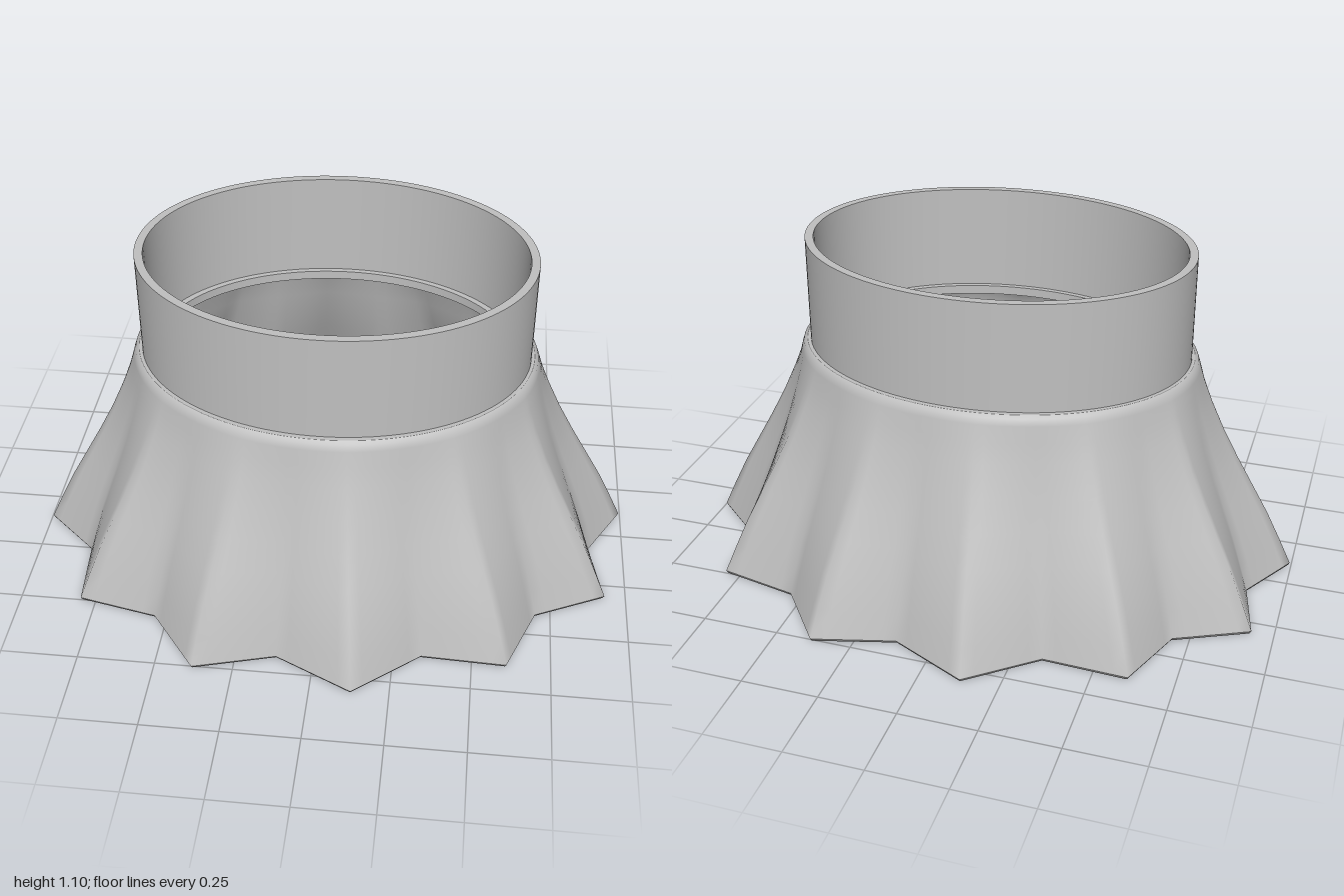
import * as THREE from 'three';

// Hem outline (x, z): alternating pleat tips and valleys for half the skirt;
// the other half is the same turned by 180 degrees.
const HALF = [
  [-0.13, -0.81], [0.12, -0.69], [0.38, -0.76], [0.54, -0.555],
  [0.80, -0.50], [0.82, -0.265], [0.995, -0.11], [0.88, 0.09],
  [0.93, 0.31], [0.70, 0.42], [0.61, 0.65], [0.34, 0.64],
];
const KNOTS = [...HALF, ...HALF.map(([x, z]) => [-x, -z])];
const SUB = 6;

// Hem points with a few steps between each tip and valley
const HEM = KNOTS.flatMap(([x, z], i) => {
  const [nx, nz] = KNOTS[(i + 1) % KNOTS.length];
  return Array.from({ length: SUB }, (_, s) => [x + (nx - x) * s / SUB, z + (nz - z) * s / SUB]);
});
const N = HEM.length;
const ANGLES = HEM.map(([x, z]) => Math.atan2(z / 0.81, x));

// A ring is a list of [x, y, z] points, one for each hem point
const ellipse = (rx, rz, y) => ANGLES.map((a) => [rx * Math.cos(a), y, rz * Math.sin(a)]);

// Pleated ring: flare 0 is the waist ellipse, flare 1 is the full hem outline
function pleat(y, flare, inset = 0) {
  return HEM.map(([hx, hz], i) => {
    const wx = 0.655 * Math.cos(ANGLES[i]), wz = 0.51 * Math.sin(ANGLES[i]);
    const x = wx + (hx - wx) * flare, z = wz + (hz - wz) * flare;
    const k = 1 - inset / Math.hypot(x, z);
    return [x * k, y, z * k];
  });
}

// Smooth closed sheet through rings
function sheet(name, rings, material) {
  const index = [];
  for (let r = 0; r < rings.length - 1; r++) {
    for (let i = 0; i < N; i++) {
      const j = (i + 1) % N;
      const a = r * N + i, b = a + N, c = r * N + j, d = c + N;
      index.push(a, b, c, b, d, c);
    }
  }
  const geometry = new THREE.BufferGeometry();
  geometry.setAttribute('position', new THREE.Float32BufferAttribute(rings.flat(2), 3));
  geometry.setIndex(index);
  geometry.computeVertexNormals();
  const mesh = new THREE.Mesh(geometry, material);
  mesh.name = name;
  return mesh;
}

export function createModel() {
  const cloth = new THREE.MeshStandardMaterial({ color: 0xc0c0c0, side: THREE.DoubleSide });
  cloth.name = 'grey cloth';

  // Flare profile from hem to waist: [height, flare]
  const profile = [
    [0.01, 1], [0.1, 0.88], [0.2, 0.74], [0.3, 0.58], [0.4, 0.42],
    [0.5, 0.27], [0.6, 0.14], [0.67, 0.06], [0.72, 0.015],
  ];
  const T = 0.02;

  // Pleated skirt: outside, waist ledge, lining and hem
  const skirt = new THREE.Group();
  skirt.name = 'skirt';
  const outer = profile.map(([y, f]) => pleat(y, f));
  const inner = profile.slice(0, -1).reverse().map(([y, f]) => pleat(y, f, T));
  skirt.add(
    sheet('skirtOutside', [...outer, ellipse(0.652, 0.507, 0.742), ellipse(0.64, 0.495, 0.75)], cloth),
    sheet('waistLedge', [ellipse(0.64, 0.495, 0.75), ellipse(0.58, 0.435, 0.75)], cloth),
    sheet('ledgeInside', [ellipse(0.58, 0.435, 0.75), ellipse(0.58, 0.435, 0.72)], cloth),
    sheet('ledgeUnderside', [ellipse(0.58, 0.435, 0.72), ellipse(0.635, 0.49, 0.70)], cloth),
    sheet('skirtLining', [ellipse(0.635, 0.49, 0.70), ...inner], cloth),
    sheet('hem', [pleat(0.01, 1, T), pleat(0, 1, T * 0.8), pleat(0, 1, T * 0.3), pleat(0.01, 1)], cloth),
  );

  // Upright elliptical waistband
  const band = new THREE.Group();
  band.name = 'waistband';
  band.add(
    sheet('bandOutside', [ellipse(0.63, 0.48, 0.74), ellipse(0.63, 0.48, 1.1)], cloth),
    sheet('bandTop', [ellipse(0.63, 0.48, 1.1), ellipse(0.603, 0.453, 1.1)], cloth),
    sheet('bandInside', [ellipse(0.603, 0.453, 1.1), ellipse(0.603, 0.453, 0.74)], cloth),
  );

  const model = new THREE.Group();
  model.name = 'pleatedSkirt';
  model.add(skirt, band);
  return model;
}
